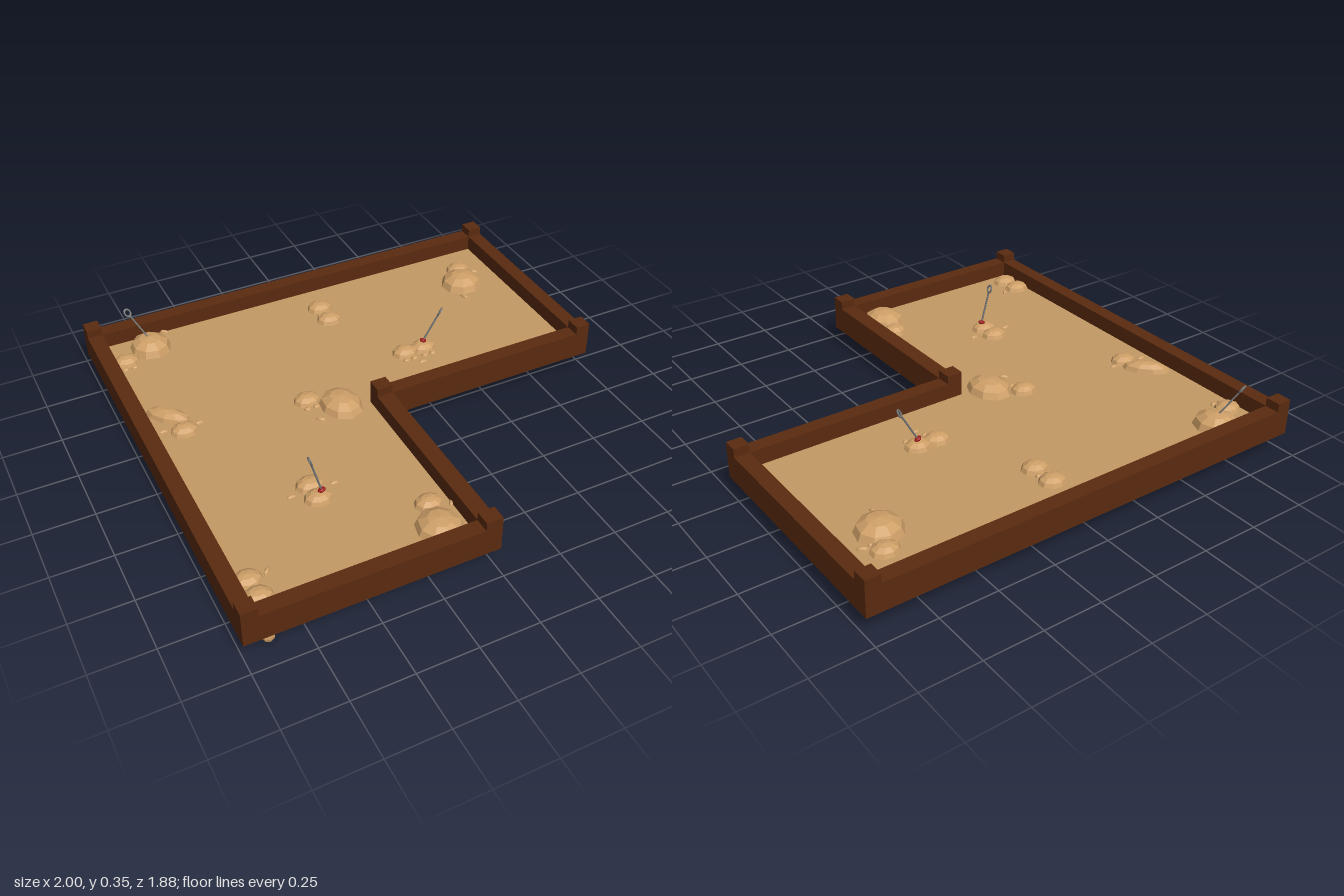
import * as THREE from 'three';

const mat = (color, extra = {}) => new THREE.MeshStandardMaterial({ color, ...extra });
const wood = mat(0x5a2b0f);
const sandMat = mat(0xc39a64);
const stone = mat(0xcfa068, { flatShading: true });
const metal = mat(0x77787a);
const red = mat(0xa01818);

const SAND = 0.13; // sand surface height

function add(group, name, geometry, material, x, y, z) {
  const mesh = new THREE.Mesh(geometry, material);
  mesh.name = name;
  mesh.position.set(x, y, z);
  group.add(mesh);
  return mesh;
}

// box given by its x, y and z ranges
function block(group, name, material, x0, x1, y0, y1, z0, z1) {
  return add(group, name, new THREE.BoxGeometry(x1 - x0, y1 - y0, z1 - z0), material,
    (x0 + x1) / 2, (y0 + y1) / 2, (z0 + z1) / 2);
}

// faceted, half-buried lump
function lump(group, name, x, z, rx, ry, rz, turn = 0, y = SAND) {
  const geo = new THREE.SphereGeometry(1, 9, 6);
  const mesh = add(group, name, geo, stone, x, y, z);
  mesh.scale.set(rx, ry, rz);
  mesh.rotation.y = turn;
  return mesh;
}

// flared stump hanging below the sand
function stump(group, x, z, bottom, r = 0.027) {
  const h = 0.11 - bottom;
  const profile = [[0, 0], [r * 0.8, 0], [r, h * 0.15], [r * 0.9, h * 0.4], [r * 0.7, h * 0.6], [r * 0.8, h]]
    .map(([a, b]) => new THREE.Vector2(a, b));
  add(group, 'stump', new THREE.LatheGeometry(profile, 8), stone, x, bottom, z);
}

// leaning rod with an oval ring on top and a red collar at its foot
function ringPin(group, from, to, turn) {
  const a = new THREE.Vector3(...from), b = new THREE.Vector3(...to);
  const pin = new THREE.Group();
  pin.name = 'ringPin';
  pin.position.copy(a);
  const dir = b.clone().sub(a);
  const len = dir.length();
  pin.quaternion.setFromUnitVectors(new THREE.Vector3(0, 1, 0), dir.normalize());
  add(pin, 'rod', new THREE.CylinderGeometry(0.004, 0.004, len - 0.034, 6), metal, 0, (len - 0.034) / 2, 0);
  const ring = add(pin, 'ring', new THREE.TorusGeometry(0.013, 0.004, 6, 14), metal, 0, len - 0.018, 0);
  ring.scale.y = 1.3;
  ring.rotation.y = turn;
  const collar = add(pin, 'collar', new THREE.SphereGeometry(0.013, 8, 6), red, 0, 0.004, 0);
  collar.scale.set(1.3, 0.7, 1);
  group.add(pin);
}

export function createModel() {
  const model = new THREE.Group();
  model.name = 'sandbox';

  // L-shaped bed of sand
  const outline = [[-0.97, -0.92], [0.97, -0.92], [0.97, 0.03], [-0.02, 0.03], [-0.02, 0.91], [-0.97, 0.91]];
  const shape = new THREE.Shape(outline.map(([x, z]) => new THREE.Vector2(x, -z)));
  const bed = new THREE.ExtrudeGeometry(shape, { depth: SAND - 0.09, bevelEnabled: false });
  bed.rotateX(-Math.PI / 2);
  add(model, 'sand', bed, sandMat, 0, 0.09, 0);

  // planks: x0, x1, z0, z1
  const planks = [
    [-0.935, 0.935, -0.945, -0.88], [0.935, 1, -0.88, 0], [0.02, 0.935, 0, 0.065],
    [-0.05, 0.02, 0.065, 0.875], [-0.935, -0.05, 0.875, 0.94], [-1, -0.935, -0.88, 0.875],
  ];
  for (const [x0, x1, z0, z1] of planks) block(model, 'plank', wood, x0, x1, 0.08, 0.2, z0, z1);

  // corner posts: x0, x1, z0, z1
  const posts = [
    [-1, -0.935, -0.945, -0.88], [0.935, 1, -0.945, -0.88], [0.935, 1, 0, 0.065],
    [-0.05, 0.02, 0, 0.065], [-0.05, 0.02, 0.875, 0.94], [-1, -0.935, 0.875, 0.94],
  ];
  for (const [x0, x1, z0, z1] of posts) block(model, 'cornerPost', wood, x0, x1, 0.08, 0.237, z0, z1);

  // large mounds: x, z, radii, turn
  const mounds = [
    [-0.75, -0.79, 0.09, 0.06, 0.095, 0.3], [-0.17, -0.035, 0.088, 0.055, 0.105, 0.2],
    [0.745, -0.62, 0.1, 0.06, 0.095, 0.5], [-0.155, 0.785, 0.093, 0.055, 0.1, 0.1],
    [-0.84, -0.285, 0.045, 0.04, 0.105, 0.75],
  ];
  for (const [x, z, rx, ry, rz, t] of mounds) lump(model, 'mound', x, z, rx, ry, rz, t);

  // small stones, some with a pair of pebbles in front: x, z, pebbles
  const stones = [
    [-0.88, -0.73, 1], [-0.81, -0.17, 0], [-0.285, -0.125, 1], [0.05, -0.73, 1], [0.05, -0.625, 0],
    [0.79, -0.73, 1], [0.24, -0.24, 1], [0.33, -0.24, 1], [-0.49, 0.36, 0], [-0.49, 0.44, 0],
    [-0.89, 0.71, 1], [-0.885, 0.8, 0], [-0.13, 0.655, 1],
  ];
  for (const [x, z, pebbles] of stones) {
    lump(model, 'stone', x, z, 0.06, 0.035, 0.05);
    if (pebbles) for (const s of [-1, 1]) lump(model, 'pebble', x + s * 0.02, z + 0.055, 0.016, 0.012, 0.013);
  }

  // scattered slivers lying on the sand
  const slivers = [
    [-0.66, -0.875, -0.6], [-0.89, -0.2, 0], [-0.74, -0.19, 0], [-0.285, 0.015, -0.7], [0.7, -0.51, -1.2],
    [0.85, -0.68, -0.5], [-0.58, 0.39, 0], [-0.4, 0.39, 0], [-0.81, 0.7, 0.8], [-0.05, 0.69, 0.8], [0.28, -0.145, 0],
  ];
  for (const [x, z, t] of slivers) lump(model, 'sliver', x, z, 0.022, 0.012, 0.01, t);

  // stumps under the bed: x, z, bottom
  const stumps = [
    [-0.89, 0.885, 0.01], [-0.89, 0.83, 0.04], [-0.81, -0.23, 0.02], [-0.83, -0.68, 0.03], [-0.73, -0.69, 0],
    [-0.49, 0.42, 0.03], [-0.49, 0.485, 0.03], [-0.28, -0.25, 0.035], [-0.22, -0.14, 0.005], [-0.17, -0.14, 0.005],
    [-0.13, -0.2, 0.03], [-0.21, 0.72, 0], [-0.17, 0.7, 0.01], [0.05, -0.66, 0.03], [0.25, -0.24, 0.03],
    [0.32, -0.24, 0.03], [0.65, -0.69, 0.005], [0.69, -0.67, 0.02], [0.79, -0.72, 0.03],
  ];
  for (const [x, z, bottom] of stumps) stump(model, x, z, bottom);

  // swollen undersides around the deepest stumps
  for (const [x, z] of [[-0.2, -0.13], [-0.19, 0.7], [0.68, -0.68], [-0.76, -0.69]]) {
    lump(model, 'underside', x, z, 0.09, 0.045, 0.075, 0, 0.085);
  }

  // ring-topped pins
  ringPin(model, [-0.745, 0.165, -0.79], [-0.825, 0.315, -0.855], 0.3);
  ringPin(model, [-0.475, 0.165, 0.44], [-0.523, 0.345, 0.44], Math.PI / 2);
  ringPin(model, [0.33, 0.165, -0.242], [0.415, 0.32, -0.23], 0.9);

  return model;
}
